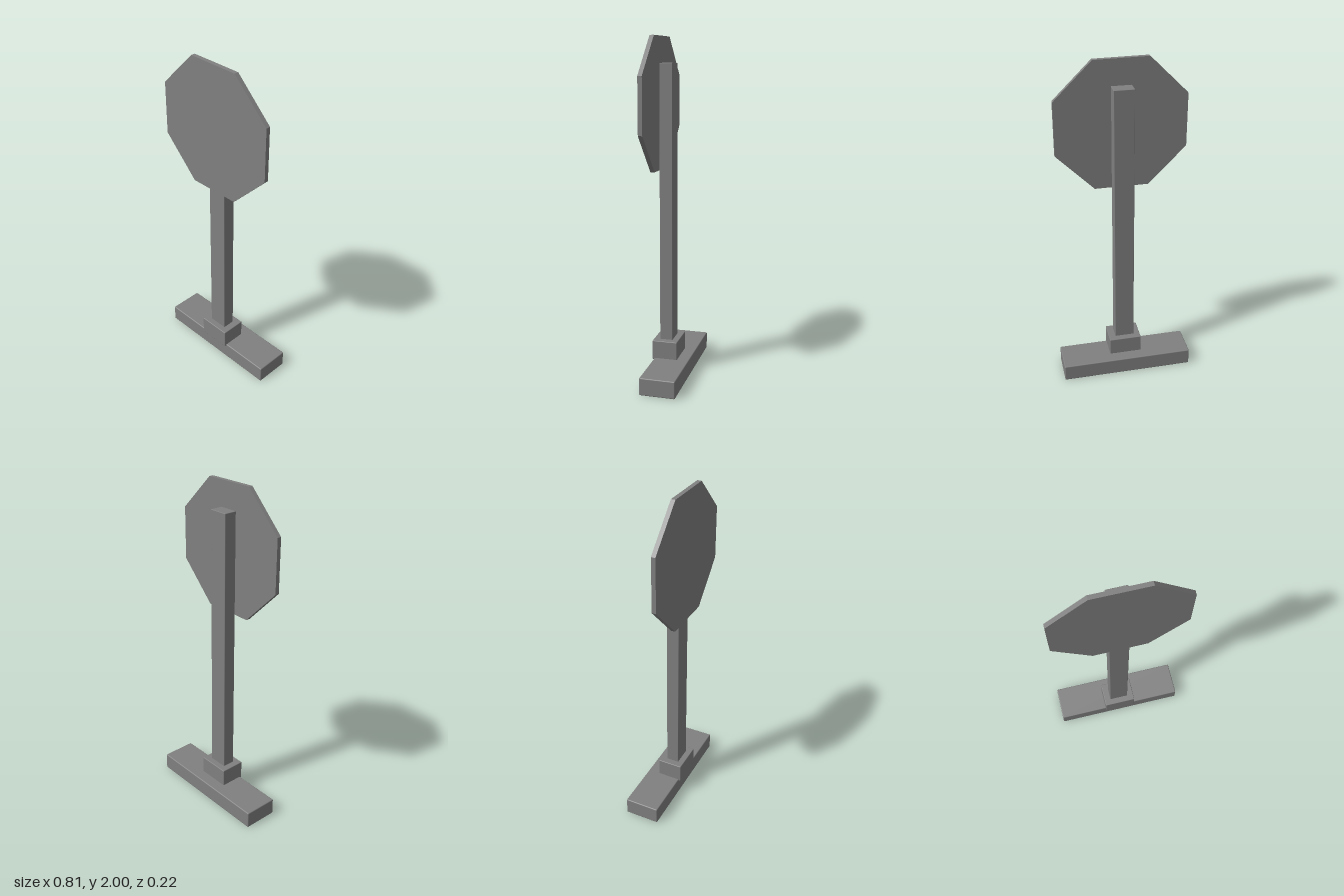
import * as THREE from 'three';
import { RoundedBoxGeometry } from 'three/addons/geometries/RoundedBoxGeometry.js';

export function createModel() {
  const model = new THREE.Group();
  model.name = 'signPost';
  const grey = new THREE.MeshStandardMaterial({ color: 0x808080 });
  grey.name = 'grey';

  // Box with slightly softened edges, given by its minimum and maximum corners
  function block(name, [x0, y0, z0], [x1, y1, z1], radius) {
    const geometry = new RoundedBoxGeometry(x1 - x0, y1 - y0, z1 - z0, 2, radius);
    const mesh = new THREE.Mesh(geometry, grey);
    mesh.name = name;
    mesh.position.set((x0 + x1) / 2, (y0 + y1) / 2, (z0 + z1) / 2);
    model.add(mesh);
  }

  block('base', [-0.405, 0, -0.112], [0.405, 0.104, 0.098], 0.006);
  block('collar', [-0.1, 0.094, -0.041], [0.1, 0.212, 0.111], 0.004);
  block('post', [-0.06, 0.1, -0.003], [0.058, 1.848, 0.074], 0.003);

  // Octagonal sign plate fixed to the front of the post
  const outline = [
    [-0.158, 1.24], [0.158, 1.24], [0.38, 1.464], [0.38, 1.779],
    [0.158, 1.997], [-0.158, 2], [-0.38, 1.779], [-0.38, 1.464],
  ].map(([x, y]) => new THREE.Vector2(x, y));
  const plate = new THREE.Mesh(
    new THREE.ExtrudeGeometry(new THREE.Shape(outline), { depth: 0.025, bevelEnabled: false }),
    grey,
  );
  plate.name = 'signPlate';
  plate.position.z = 0.073;
  model.add(plate);

  return model;
}
